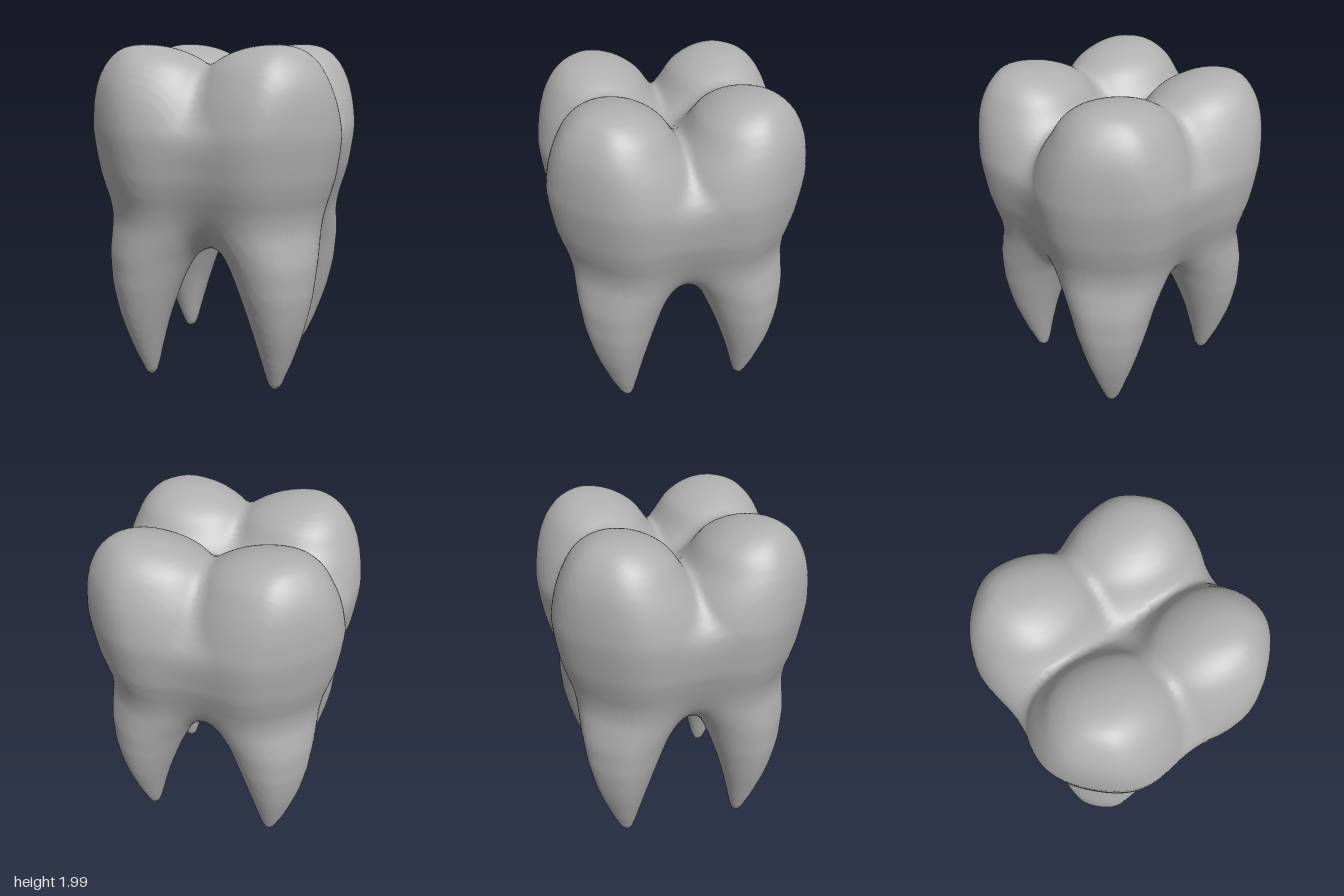
import * as THREE from 'three';

// Outline of one lobe (cusp + root), top to tip: [y, distance of axis from middle, radius]
const PROFILE = [
  [2, 0.38, 0], [1.98, 0.373, 0.128], [1.9, 0.354, 0.25], [1.8, 0.345, 0.316], [1.7, 0.32, 0.375],
  [1.6, 0.295, 0.42], [1.5, 0.275, 0.449], [1.3, 0.262, 0.438], [1.2, 0.26, 0.415], [1.1, 0.262, 0.384],
  [1.0, 0.282, 0.346], [0.9, 0.322, 0.303], [0.8, 0.36, 0.263], [0.7, 0.38, 0.234], [0.6, 0.395, 0.208],
  [0.4, 0.407, 0.152], [0.2, 0.402, 0.092], [0.1, 0.395, 0.06], [0.03, 0.391, 0.032], [0, 0.39, 0],
];
// Knots measured by the root of depth, which keeps the cusps round
const KNOT = PROFILE.map(([y]) => Math.sqrt(2 - y));

const smooth = THREE.MathUtils.smoothstep;
const clamp = THREE.MathUtils.clamp;

// Smooth Hermite interpolation of the profile
function profileAt(y) {
  if (y <= 0) return [0.39, y * 1.5];
  if (y >= 2) return [0.38, (2 - y) * 10];
  const n = PROFILE.length - 1, s = Math.sqrt(2 - y);
  let i = 0;
  while (i < n - 1 && KNOT[i + 1] < s) i++;
  const p = Math.max(i - 1, 0), q = Math.min(i + 2, n);
  const h = KNOT[i + 1] - KNOT[i], t = (s - KNOT[i]) / h, t2 = t * t, t3 = t2 * t;
  return [1, 2].map((k) => {
    const a = PROFILE[i][k], b = PROFILE[i + 1][k];
    const m0 = (b - PROFILE[p][k]) / (KNOT[i + 1] - KNOT[p]);
    const m1 = (PROFILE[q][k] - a) / (KNOT[q] - KNOT[i]);
    return (2 * t3 - 3 * t2 + 1) * a + (t3 - 2 * t2 + t) * h * m0 + (3 * t2 - 2 * t3) * b + (t3 - t2) * h * m1;
  });
}

// Union of two solids with a fillet of size k
function blend(a, b, k) {
  const h = Math.max(k - Math.abs(a - b), 0) / k;
  return Math.min(a, b) - h * h * k / 4;
}

// One lobe in the quadrant given by signs sx, sz
function lobe(x, y, z, sx, sz) {
  // Back roots are a little shorter, front roots lean inward
  const [c, r] = profileAt(sz < 0 ? y - 0.04 * Math.max(0, 1 - y) : y);
  let dx = sx * x - c;
  const dz = sz * z - c + (sz > 0 ? 0.035 * Math.max(0, 1.2 - y) : 0);
  // Left and right cusps reach toward each other
  if (dx < 0) dx *= 1 - 0.12 * smooth(y, 1.1, 1.5) - 0.11 * smooth(y, 1.6, 1.85);
  const d2 = dx * dx + dz * dz + 1e-5;
  // Outer corner is slightly flattened
  const corner = dx > 0 && dz > 0 ? 2 * dx * dz / d2 : 0;
  return Math.sqrt(d2) - r * (1 - 0.065 * corner * corner);
}

// Four lobes and a central core, with the grooves sharpening toward the top
function tooth(x, y, z) {
  const top = smooth(y, 1.42, 1.75);
  const kx = 0.2 - 0.05 * smooth(y, 1.1, 1.4) - 0.08 * top, kz = 0.2 - 0.15 * top;
  const front = blend(lobe(x, y, z, 1, 1), lobe(x, y, z, -1, 1), kx);
  const back = blend(lobe(x, y, z, 1, -1), lobe(x, y, z, -1, -1), kx);
  const core = (Math.hypot(x / 0.36, (y - 1.24) / 0.44, z / 0.36) - 1) * 0.36;
  return blend(blend(front, back, kz), core, 0.22 - 0.12 * top);
}

// Skin a solid with quads: one vertex per crossed cell, pulled onto the surface
function skin(f, min, size, step) {
  const n = size.map((s) => Math.ceil(s / step) + 1);
  const stride = [1, n[0], n[0] * n[1]];
  const at = (i, j, k) => i + j * stride[1] + k * stride[2];
  const value = new Float32Array(n[0] * n[1] * n[2]);
  const cellVertex = new Int32Array(value.length).fill(-1);
  const eachCell = (visit) => {
    for (let k = 0; k < n[2] - 1; k++)
      for (let j = 0; j < n[1] - 1; j++)
        for (let i = 0; i < n[0] - 1; i++) visit([i, j, k], at(i, j, k));
  };
  for (let k = 0; k < n[2]; k++)
    for (let j = 0; j < n[1]; j++)
      for (let i = 0; i < n[0]; i++)
        value[at(i, j, k)] = f(min[0] + i * step, min[1] + j * step, min[2] + k * step);

  const positions = [], indices = [];
  eachCell((cell, id) => {
    const sum = [0, 0, 0];
    let count = 0;
    for (let corner = 0; corner < 8; corner++) {
      const bits = [corner & 1, (corner >> 1) & 1, corner >> 2];
      const a = value[id + at(...bits)];
      for (let axis = 0; axis < 3; axis++) {
        if (bits[axis]) continue;
        const b = value[id + at(...bits) + stride[axis]];
        if ((a < 0) === (b < 0)) continue;
        for (let d = 0; d < 3; d++) sum[d] += bits[d] + (d === axis ? a / (a - b) : 0);
        count++;
      }
    }
    if (!count) return;
    const p = sum.map((s, d) => min[d] + (cell[d] + s / count) * step);
    for (let pass = 0; pass < 4; pass++) {
      const e = 0.001, v = f(...p);
      const g = [0, 1, 2].map((d) => {
        const a = p.slice(), b = p.slice();
        a[d] -= e;
        b[d] += e;
        return (f(...b) - f(...a)) / (2 * e);
      });
      const move = v / Math.max(g[0] * g[0] + g[1] * g[1] + g[2] * g[2], 0.05);
      for (let d = 0; d < 3; d++) p[d] -= clamp(g[d] * move, -0.4 * step, 0.4 * step);
    }
    cellVertex[id] = positions.length / 3;
    positions.push(...p);
  });

  eachCell((cell, id) => {
    for (let axis = 0; axis < 3; axis++) {
      const inside = value[id] < 0;
      if (inside === value[id + stride[axis]] < 0) continue;
      const b = stride[(axis + 1) % 3], c = stride[(axis + 2) % 3];
      const q = [id - b - c, id - c, id, id - b].map((m) => cellVertex[m]);
      if (!inside) q.reverse();
      indices.push(q[0], q[1], q[2], q[0], q[2], q[3]);
    }
  });

  const geometry = new THREE.BufferGeometry();
  geometry.setAttribute('position', new THREE.Float32BufferAttribute(positions, 3));
  geometry.setIndex(indices);
  geometry.computeVertexNormals();
  return geometry;
}

export function createModel() {
  const group = new THREE.Group();
  group.name = 'molarTooth';
  const enamel = new THREE.MeshStandardMaterial({ color: 0xb0b0b0 });
  enamel.name = 'enamel grey';

  // Crown and four roots in one continuous skin
  const body = new THREE.Mesh(skin(tooth, [-0.8125, -0.0625, -0.8125], [1.625, 2.15, 1.625], 0.025), enamel);
  body.name = 'crownAndRoots';
  group.add(body);
  return group;
}
